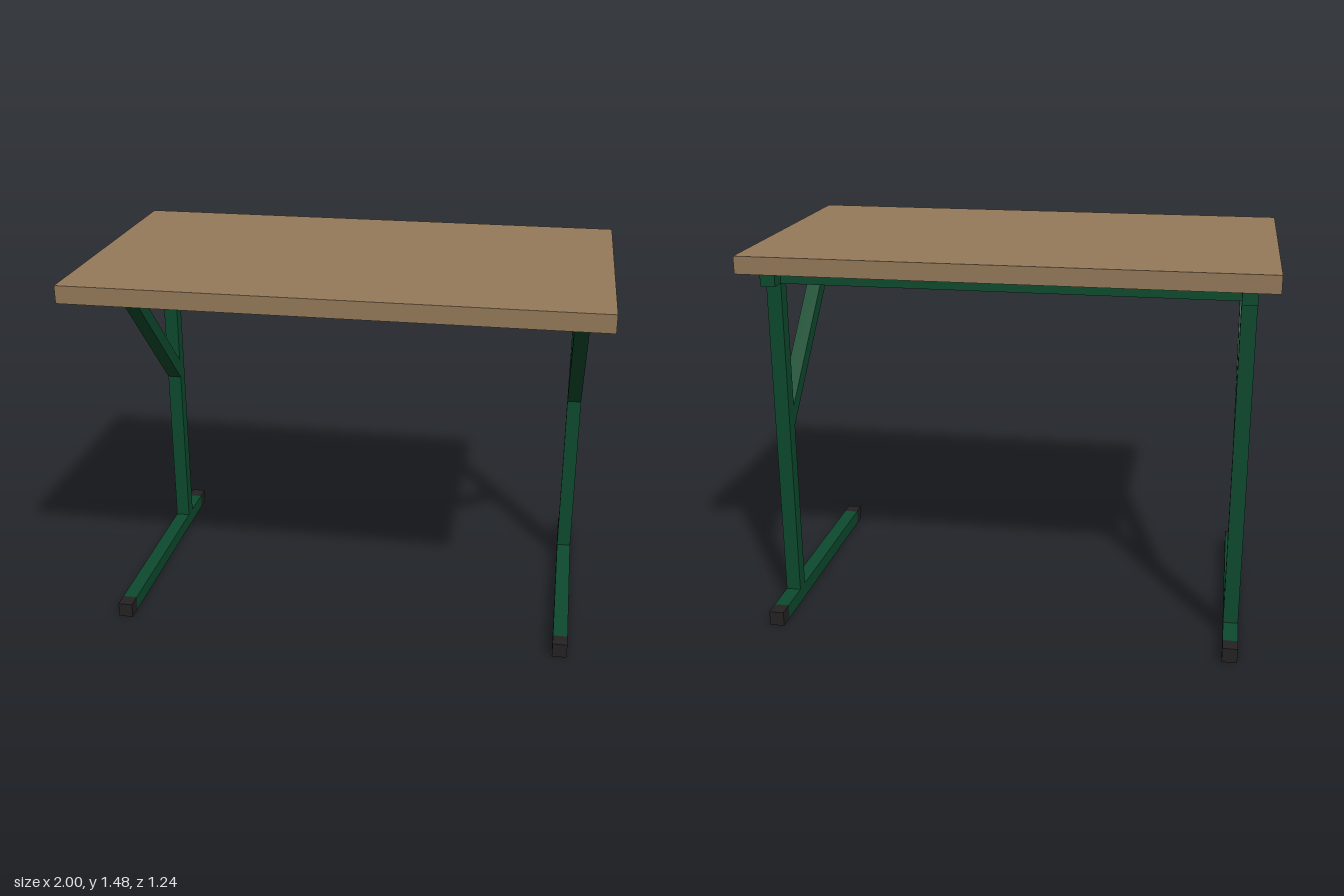
import * as THREE from 'three';

export function createModel() {
  const model = new THREE.Group();
  model.name = 'table';
  const wood = new THREE.MeshStandardMaterial({ name: 'brown wood', color: 0x957a5a });
  const green = new THREE.MeshStandardMaterial({ name: 'green steel', color: 0x0d4b2e });
  const black = new THREE.MeshStandardMaterial({ name: 'black plastic', color: 0x242223 });

  const T = 0.058;      // tube thickness
  const LEG_X = 0.895;  // centre of each leg frame
  const TOP_Y = 1.41;   // underside of the tabletop
  const RAIL_Y = TOP_Y - T;
  const POST_Z = -0.386;

  // Box spanning y0..y1 and z0..z1, centred on x
  function box(parent, name, material, x, width, y0, y1, z0, z1) {
    const mesh = new THREE.Mesh(new THREE.BoxGeometry(width, y1 - y0, z1 - z0), material);
    mesh.position.set(x, (y0 + y1) / 2, (z0 + z1) / 2);
    mesh.name = name;
    parent.add(mesh);
  }

  box(model, 'tabletop', wood, 0, 2, TOP_Y, 1.478, -0.535, 0.622);
  box(model, 'crossRail', green, 0, 2 * LEG_X - T, RAIL_Y, TOP_Y, POST_Z - T / 2, POST_Z + T / 2);

  // Diagonal brace with mitred ends, drawn in the z-y plane
  const front = POST_Z + T / 2;
  const braceShape = new THREE.Shape([
    new THREE.Vector2(front, 0.76),
    new THREE.Vector2(front + RAIL_Y - 0.76, RAIL_Y),
    new THREE.Vector2(front + RAIL_Y - 0.842, RAIL_Y),
    new THREE.Vector2(front, 0.842),
  ]);
  const braceGeometry = new THREE.ExtrudeGeometry(braceShape, { depth: T, bevelEnabled: false });
  braceGeometry.translate(0, 0, -T / 2).rotateY(-Math.PI / 2);

  for (const [side, name] of [[1, 'leftLegFrame'], [-1, 'rightLegFrame']]) {
    const frame = new THREE.Group();
    frame.name = name;
    frame.position.x = side * LEG_X;
    box(frame, 'foot', green, 0, T, 0, T, -0.558, 0.403);
    box(frame, 'frontEndCap', black, 0, T, 0, T, 0.403, 0.465);
    box(frame, 'backEndCap', black, 0, T, 0, T, -0.622, -0.558);
    box(frame, 'post', green, 0, T, T, RAIL_Y, POST_Z - T / 2, POST_Z + T / 2);
    box(frame, 'topRail', green, 0, T, RAIL_Y, TOP_Y, -0.477, 0.379);
    const brace = new THREE.Mesh(braceGeometry, green);
    brace.name = 'brace';
    frame.add(brace);
    model.add(frame);
  }
  return model;
}
